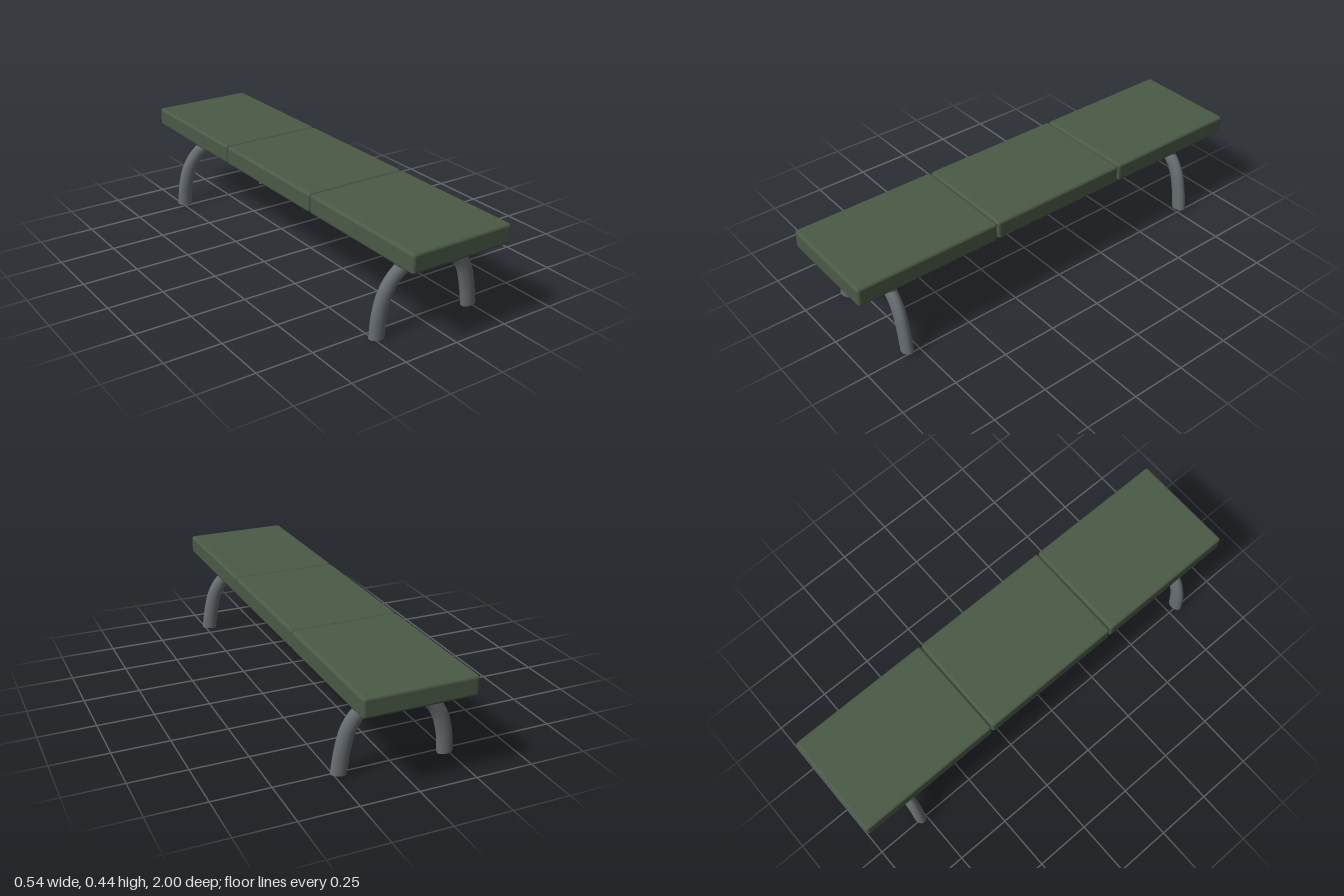
import * as THREE from 'three';
import { RoundedBoxGeometry } from 'three/addons/geometries/RoundedBoxGeometry.js';

export function createModel() {
  const model = new THREE.Group();
  model.name = 'bench';
  const green = new THREE.MeshStandardMaterial({ color: 0x4b5a46 });
  const steel = new THREE.MeshStandardMaterial({ color: 0x666c70, side: THREE.DoubleSide });

  const add = (parent, name, geometry, material, x, y, z) => {
    const mesh = new THREE.Mesh(geometry, material);
    mesh.name = name;
    mesh.position.set(x, y, z);
    parent.add(mesh);
  };

  // Three padded seat sections with narrow seams
  const cushion = new RoundedBoxGeometry(0.482, 0.086, 0.664, 4, 0.013);
  ['backCushion', 'middleCushion', 'frontCushion'].forEach((name, i) =>
    add(model, name, cushion, green, 0.006, 0.395, (i - 1) * 0.668));

  // Bent pipe, slightly uneven, with an oval section: wider across than deep
  const squash = new THREE.Vector3(1.17, 1, 0.85);
  const path = new THREE.CatmullRomCurve3([
    [-0.237, 0], [-0.227, 0.1], [-0.198, 0.192], [-0.145, 0.257], [-0.075, 0.291],
    [0.012, 0.303], [0.093, 0.288], [0.153, 0.255], [0.195, 0.195], [0.219, 0.11], [0.235, 0.008],
  ].map(([x, y]) => new THREE.Vector3(x, y, 0).divide(squash)));
  const pipe = new THREE.TubeGeometry(path, 48, 0.03, 24, false);
  pipe.scale(squash.x, squash.y, squash.z);

  // Each leg frame: arched pipe and two posts up to the seat
  const post = new THREE.CylinderGeometry(0.0215, 0.0215, 0.08, 24);
  for (const [name, z] of [['frontLeg', 0.802], ['backLeg', -0.774]]) {
    const leg = new THREE.Group();
    leg.name = name;
    leg.position.z = z;
    add(leg, 'archedPipe', pipe, steel, 0, 0, 0);
    add(leg, 'rightPost', post, steel, -0.134, 0.324, 0);
    add(leg, 'leftPost', post, steel, 0.153, 0.32, 0);
    model.add(leg);
  }
  return model;
}
